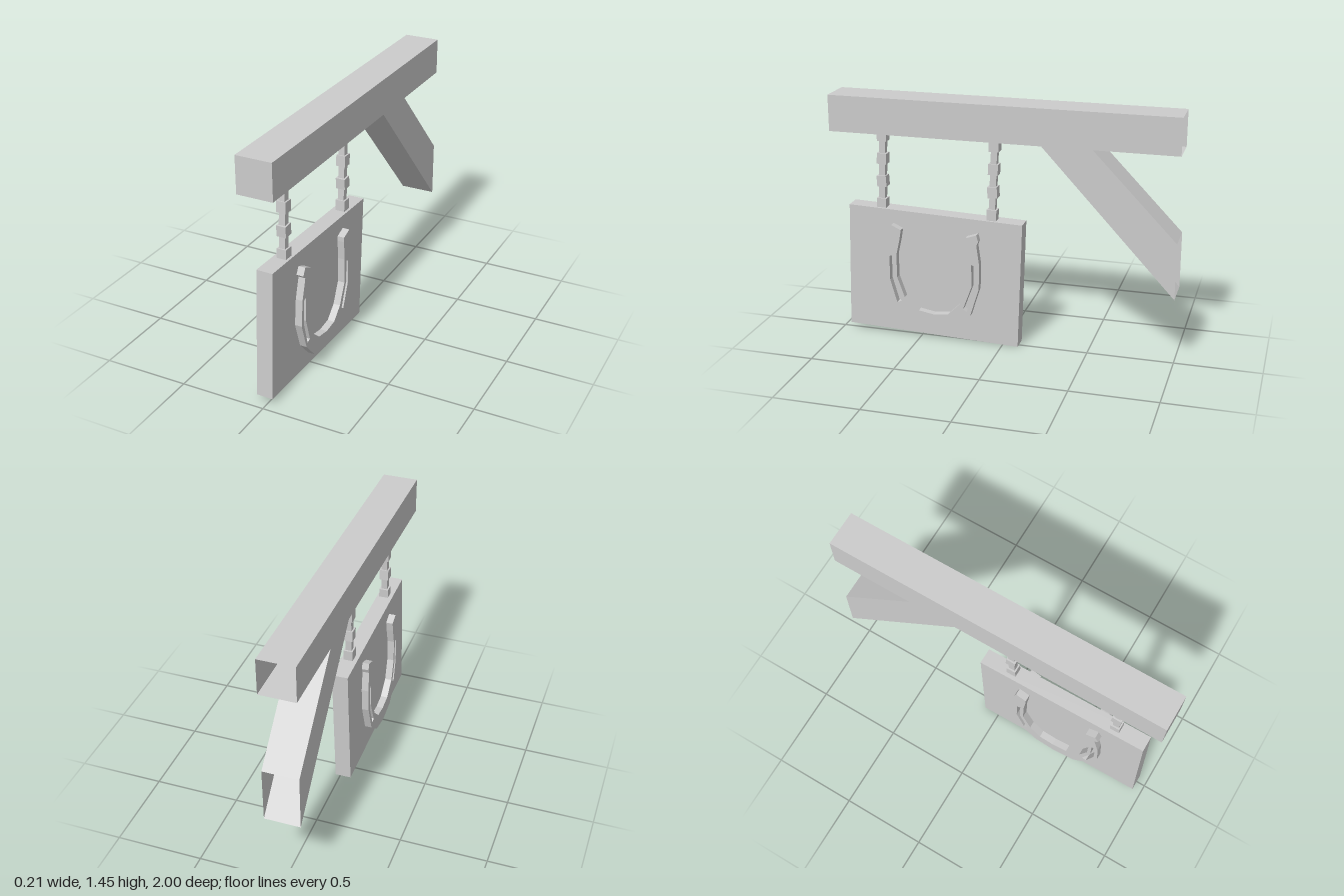
import * as THREE from 'three';

const material = new THREE.MeshStandardMaterial({ color: 0xcccccc, flatShading: true, side: THREE.DoubleSide });

function add(parent, name, geometry, x = 0, y = 0, z = 0) {
  const mesh = new THREE.Mesh(geometry, material);
  mesh.name = name;
  mesh.position.set(x, y, z);
  parent.add(mesh);
  return mesh;
}

const toPoints = (list) => list.map(([u, v]) => new THREE.Vector2(u, v));

// Profile swept across the width, leaving the listed outline edges open
function openPrism(parent, name, outline, half, openEdges) {
  const part = new THREE.Group();
  part.name = name;
  parent.add(part);
  const side = new THREE.ShapeGeometry(new THREE.Shape(toPoints(outline)));
  add(part, name + 'LeftSide', side, 0, 0, half);
  // far side: same outline with reversed winding
  const far = side.clone();
  far.setIndex(Array.from(side.index.array).reverse());
  far.deleteAttribute('normal');
  far.computeVertexNormals();
  add(part, name + 'RightSide', far, 0, 0, -half);
  const pos = [];
  outline.forEach(([u0, v0], i) => {
    if (openEdges.includes(i)) return;
    const [u1, v1] = outline[(i + 1) % outline.length];
    pos.push(u0, v0, half, u0, v0, -half, u1, v1, -half);
    pos.push(u0, v0, half, u1, v1, -half, u1, v1, half);
  });
  const walls = new THREE.BufferGeometry();
  walls.setAttribute('position', new THREE.Float32BufferAttribute(pos, 3));
  walls.computeVertexNormals();
  add(part, name + 'Walls', walls);
}

// Chain of alternating wide and narrow links
function chain(parent, name, uTop, uBottom, top) {
  const part = new THREE.Group();
  part.name = name;
  parent.add(part);
  const step = 0.135;
  for (let i = 0; i < 4; i++) {
    const y = top - i * step;
    const u = THREE.MathUtils.lerp(uTop, uBottom, i / 3);
    const wide = add(part, 'wideLink', new THREE.BoxGeometry(0.057, 0.064, 0.055), u, y, -0.003);
    wide.rotation.z = [0, -0.05, 0.05, -0.04][i];
    if (i < 3) {
      const narrow = add(part, 'narrowLink', new THREE.BoxGeometry(0.037, 0.085, 0.036),
        u + (uBottom - uTop) / 6, y - step / 2, -0.003);
      narrow.rotation.z = -0.06;
    }
  }
}

export function createModel() {
  const model = new THREE.Group();
  model.name = 'hangingSign';

  // Everything is drawn in side profile: local x runs to the back, local z to the left
  const profile = new THREE.Group();
  profile.name = 'profileFrame';
  profile.rotation.y = Math.PI / 2;
  model.add(profile);

  // Hollow beam and diagonal brace, open where they meet the wall
  openPrism(profile, 'bracket', [
    [-1, 1.245], [-0.24 + 0.48, 1.245], [1, 0.43], [1, 0.755],
    [0.525, 1.245], [1, 1.245], [1, 1.455], [-1, 1.455],
  ], 0.103, [2, 5]);

  chain(profile, 'frontChain', -0.715, -0.728, 1.216);
  chain(profile, 'rearChain', -0.05, -0.065, 1.202);

  // Slightly tilted sign
  const sign = new THREE.Group();
  sign.name = 'sign';
  sign.rotation.x = 0.013;
  sign.position.z = -0.018;
  profile.add(sign);
  const board = add(sign, 'board', new THREE.BoxGeometry(1.042, 0.755, 0.094), -0.414, 0.4, 0);
  board.rotation.z = -0.035;

  // Horseshoe standing proud of both faces, with a slot in each arm
  const outline = [
    [-0.652, 0.706], [-0.594, 0.679], [-0.604, 0.62], [-0.626, 0.524], [-0.626, 0.385], [-0.583, 0.262],
    [-0.497, 0.187], [-0.406, 0.171], [-0.316, 0.182], [-0.246, 0.251], [-0.193, 0.374], [-0.193, 0.524],
    [-0.203, 0.64], [-0.203, 0.668], [-0.139, 0.69], [-0.128, 0.652], [-0.139, 0.626], [-0.123, 0.503],
    [-0.128, 0.358], [-0.182, 0.187], [-0.289, 0.096], [-0.417, 0.075], [-0.551, 0.102], [-0.642, 0.203],
    [-0.695, 0.364], [-0.684, 0.519], [-0.652, 0.642], [-0.674, 0.663],
  ];
  const slots = [
    [[-0.67, 0.513], [-0.645, 0.519], [-0.647, 0.374], [-0.604, 0.235], [-0.631, 0.225], [-0.67, 0.364]],
    [[-0.171, 0.508], [-0.15, 0.497], [-0.15, 0.353], [-0.203, 0.209], [-0.225, 0.225], [-0.171, 0.369]],
  ];
  const shoe = new THREE.Shape(toPoints(outline));
  shoe.holes = slots.map((slot) => new THREE.Path(toPoints(slot)));
  add(sign, 'horseshoe', new THREE.ExtrudeGeometry(shoe, { depth: 0.176, bevelEnabled: false }), 0, 0, -0.088);

  return model;
}
